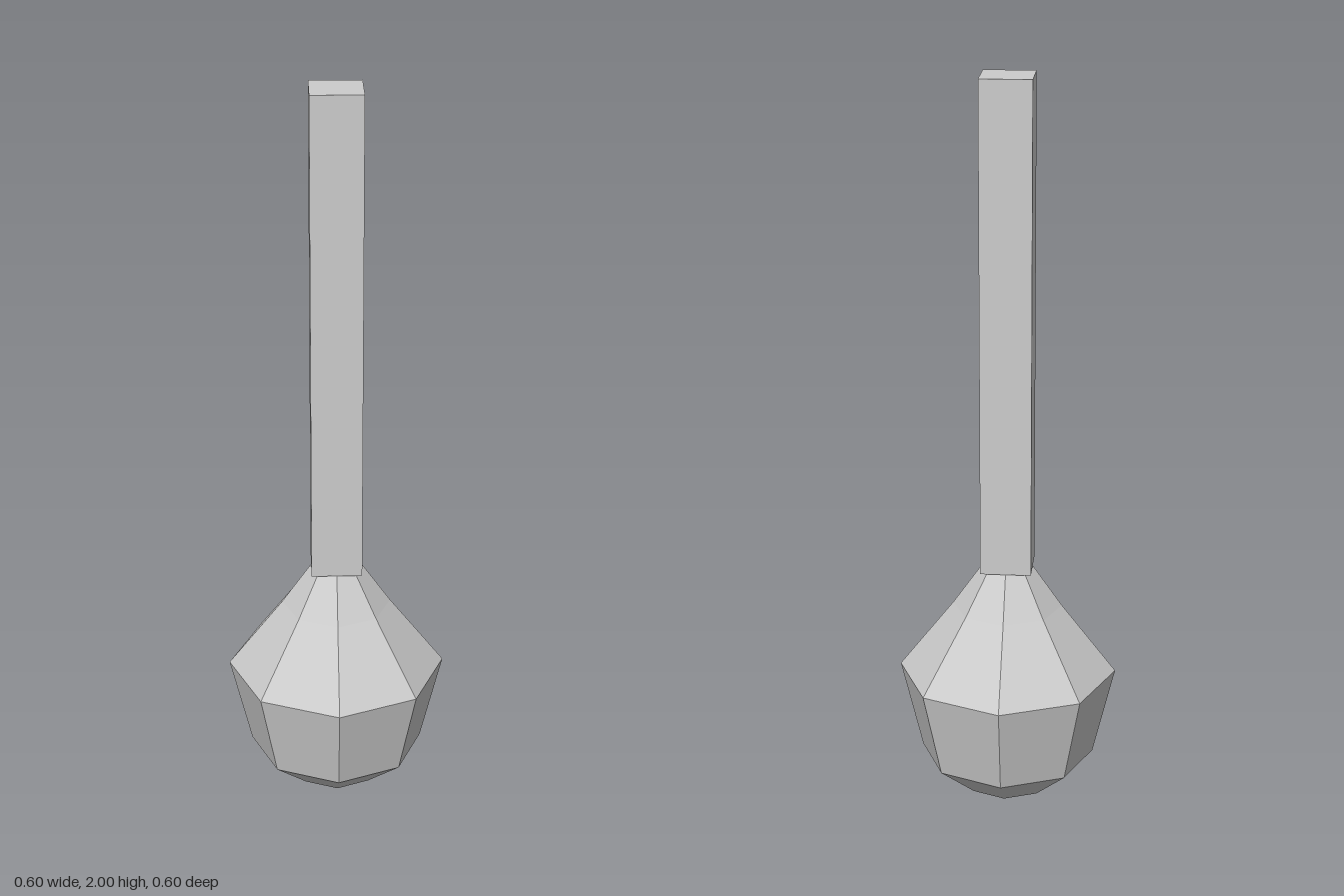
import * as THREE from 'three';

export function createModel() {
  const model = new THREE.Group();
  model.name = 'rodWithBulb';

  const grey = new THREE.MeshStandardMaterial({ color: 0xcccccc, flatShading: true });
  grey.name = 'grey';

  // Eight-sided bulb tapering up to a neck
  const profile = [[0, 0], [0.125, 0], [0.24, 0.097], [0.3, 0.347], [0.15, 0.54], [0.07, 0.655]]
    .map(([r, y]) => new THREE.Vector2(r, y));
  const bulb = new THREE.Mesh(new THREE.LatheGeometry(profile, 8), grey);
  bulb.name = 'bulb';

  // Square rod standing on the neck
  const bottom = 0.655, height = 2 - bottom;
  const rod = new THREE.Mesh(new THREE.BoxGeometry(0.138, height, 0.138), grey);
  rod.position.y = bottom + height / 2;
  rod.name = 'rod';

  model.add(bulb, rod);
  return model;
}
